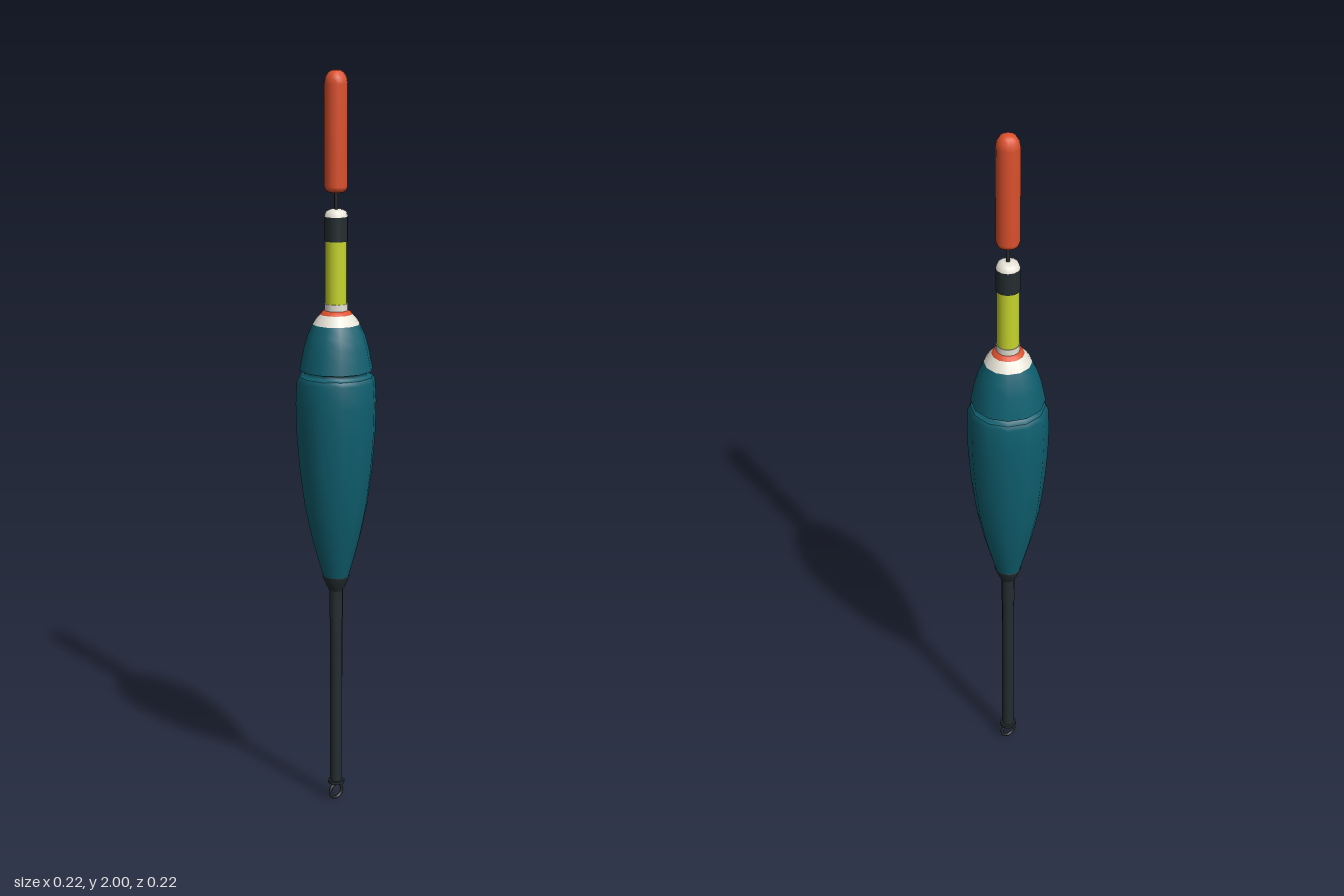
import * as THREE from 'three';

const mat = (name, color) => {
  const m = new THREE.MeshStandardMaterial({ color });
  m.name = name;
  return m;
};

export function createModel() {
  const group = new THREE.Group();
  const teal = mat('teal paint', 0x0f6070);
  const orange = mat('orange paint', 0xdc512d);
  const yellow = mat('yellow paint', 0xc8d62c);
  const dark = mat('charcoal', 0x242d30);
  const white = mat('off white', 0xe8e4d8);
  const metal = mat('dark metal', 0x2a2c2d);

  // Turned part from [radius, height] points, listed bottom to top
  function turned(name, material, points, sides = 12) {
    const profile = points.map(([r, y]) => new THREE.Vector2(r, y));
    const mesh = new THREE.Mesh(new THREE.LatheGeometry(profile, sides), material);
    mesh.name = name;
    group.add(mesh);
  }
  // Straight capped rod between two heights
  function rod(name, material, radius, y0, y1, sides = 12) {
    const mesh = new THREE.Mesh(new THREE.CylinderGeometry(radius, radius, y1 - y0, sides), material);
    mesh.name = name;
    mesh.position.y = (y0 + y1) / 2;
    group.add(mesh);
  }

  // Line eye, lower stem and its fittings
  const eye = new THREE.Mesh(new THREE.TorusGeometry(0.02, 0.0045, 8, 24), metal);
  eye.name = 'lineEye';
  eye.position.y = 0.0245;
  group.add(eye);
  rod('stemFoot', dark, 0.023, 0.049, 0.057);
  rod('stem', dark, 0.017, 0.055, 0.64);
  rod('stemSleeve', dark, 0.0185, 0.53, 0.62);
  turned('bodyCollar', dark, [[0.017, 0.605], [0.025, 0.62], [0.037, 0.648], [0.033, 0.652]]);

  // Main float body, groove and shoulder
  turned('lowerBody', teal, [[0.034, 0.645], [0.047, 0.69], [0.066, 0.76], [0.085, 0.85],
    [0.098, 0.95], [0.106, 1.05], [0.108, 1.13], [0.105, 1.19], [0.098, 1.202]]);
  turned('bodyGroove', teal, [[0.098, 1.202], [0.085, 1.207], [0.085, 1.217], [0.098, 1.219]]);
  turned('shoulder', teal, [[0.098, 1.219], [0.094, 1.24], [0.086, 1.28], [0.076, 1.313], [0.063, 1.341]]);
  turned('shoulderBand', white, [[0.063, 1.341], [0.054, 1.355], [0.043, 1.367]]);
  turned('shoulderRing', orange, [[0.043, 1.367], [0.038, 1.374], [0.029, 1.378]]);

  // Upper stick
  rod('stickBase', white, 0.031, 1.365, 1.395);
  rod('stick', yellow, 0.029, 1.39, 1.56);
  rod('stickBand', dark, 0.0315, 1.56, 1.624);
  turned('stickCap', white, [[0.0315, 1.624], [0.027, 1.637], [0.016, 1.642], [0, 1.643]]);

  // Wire and bright tip
  rod('tipWire', metal, 0.005, 1.64, 1.70, 8);
  turned('tip', orange, [[0, 1.685], [0.02, 1.687], [0.028, 1.692], [0.031, 1.702], [0.031, 1.965],
    [0.028, 1.982], [0.02, 1.994], [0.01, 1.999], [0, 2]]);
  return group;
}
